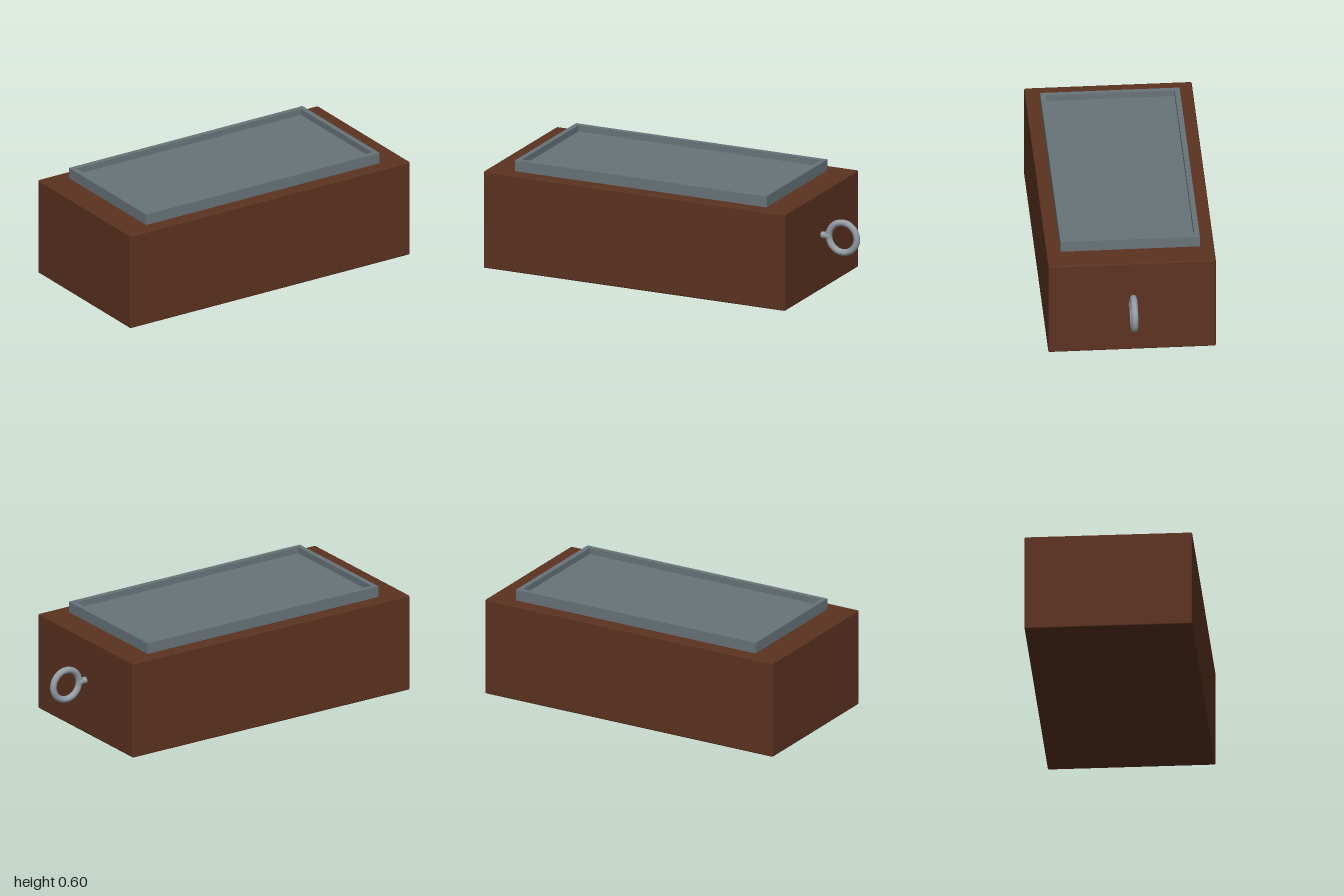
import * as THREE from 'three';
import { RoundedBoxGeometry } from 'three/addons/geometries/RoundedBoxGeometry.js';

const material = (name, color) => {
  const m = new THREE.MeshStandardMaterial({ color });
  m.name = name;
  return m;
};

const wood = material('brown wood', 0x5c3321);
const slate = material('slate grey', 0x68747a);
const steel = material('light steel', 0x929da4);

export function createModel() {
  const group = new THREE.Group();
  const add = (name, geometry, mat, x, y, z) => {
    const mesh = new THREE.Mesh(geometry, mat);
    mesh.name = name;
    mesh.position.set(x, y, z);
    group.add(mesh);
    return mesh;
  };

  // Solid body with slightly softened edges
  add('body', new RoundedBoxGeometry(1.776, 0.536, 0.89, 1, 0.008), wood, -0.112, 0.268, 0);

  // Raised rim of the tray: a rectangle with a rectangular hole
  const rectangle = (Type, w, d) => new Type([
    new THREE.Vector2(-w / 2, -d / 2), new THREE.Vector2(w / 2, -d / 2),
    new THREE.Vector2(w / 2, d / 2), new THREE.Vector2(-w / 2, d / 2),
  ]);
  const rimShape = rectangle(THREE.Shape, 1.48, 0.74);
  rimShape.holes.push(rectangle(THREE.Path, 1.424, 0.684));
  const rimGeometry = new THREE.ExtrudeGeometry(rimShape, { depth: 0.064, bevelEnabled: false });
  rimGeometry.rotateX(-Math.PI / 2);
  add('trayRim', rimGeometry, slate, -0.11, 0.532, 0);

  // Recessed tray floor
  add('trayFloor', new THREE.BoxGeometry(1.43, 0.03, 0.69), slate, -0.11, 0.547, 0);

  // Pull ring held by a short round-ended stem
  add('pullRing', new THREE.TorusGeometry(0.082, 0.018, 16, 48), steel, 0.9, 0.302, 0);
  const stem = add('ringStem', new THREE.CylinderGeometry(0.018, 0.018, 0.05, 20), steel, 0.79, 0.302, 0);
  stem.rotation.z = Math.PI / 2;
  add('stemEnd', new THREE.SphereGeometry(0.022, 20, 14), steel, 0.812, 0.302, 0);

  return group;
}
